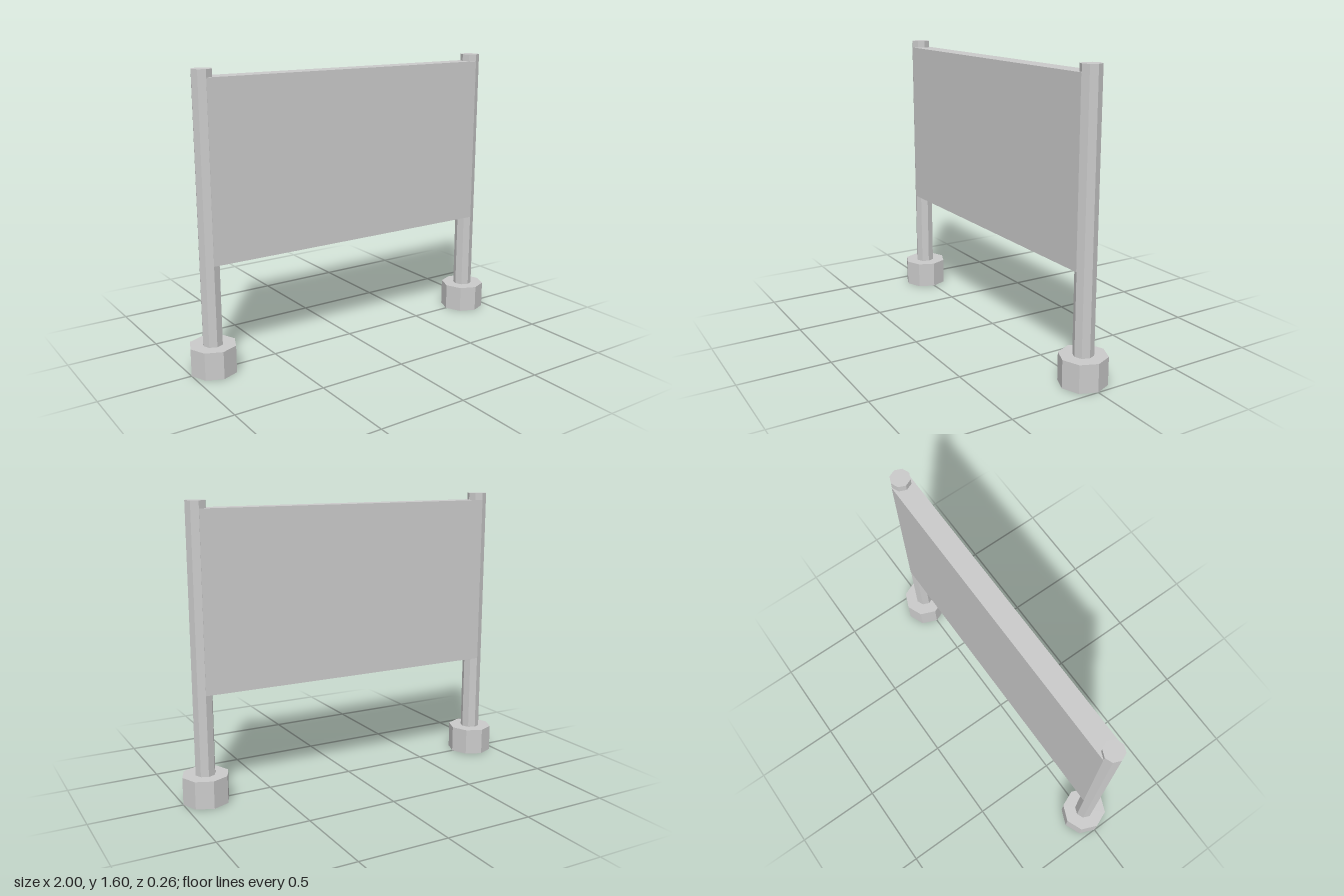
import * as THREE from 'three';

const material = new THREE.MeshStandardMaterial({ color: 0xcccccc, flatShading: true });

// Mesh whose underside sits at height y
function part(name, geometry, x, y, height) {
  const mesh = new THREE.Mesh(geometry, material);
  mesh.name = name;
  mesh.position.set(x, y + height / 2, 0);
  return mesh;
}

// Octagonal prism with corners on the x and z axes
const octagon = (radius, height) => new THREE.CylinderGeometry(radius, radius, height, 8);

export function createModel() {
  const group = new THREE.Group();
  group.name = 'signBoard';

  const postX = 0.872, baseHeight = 0.152, postHeight = 1.595 - baseHeight;

  // Post standing on a wide foot at each end
  for (const [side, sign] of [['left', 1], ['right', -1]]) {
    group.add(part(side + 'Foot', octagon(0.128, baseHeight), sign * postX, 0, baseHeight));
    group.add(part(side + 'Post', octagon(0.055, postHeight), sign * postX, baseHeight, postHeight));
  }

  // Board spanning between the post centres
  const boardHeight = 0.96;
  group.add(part('board', new THREE.BoxGeometry(postX * 2, boardHeight, 0.114), 0, 0.595, boardHeight));

  return group;
}
